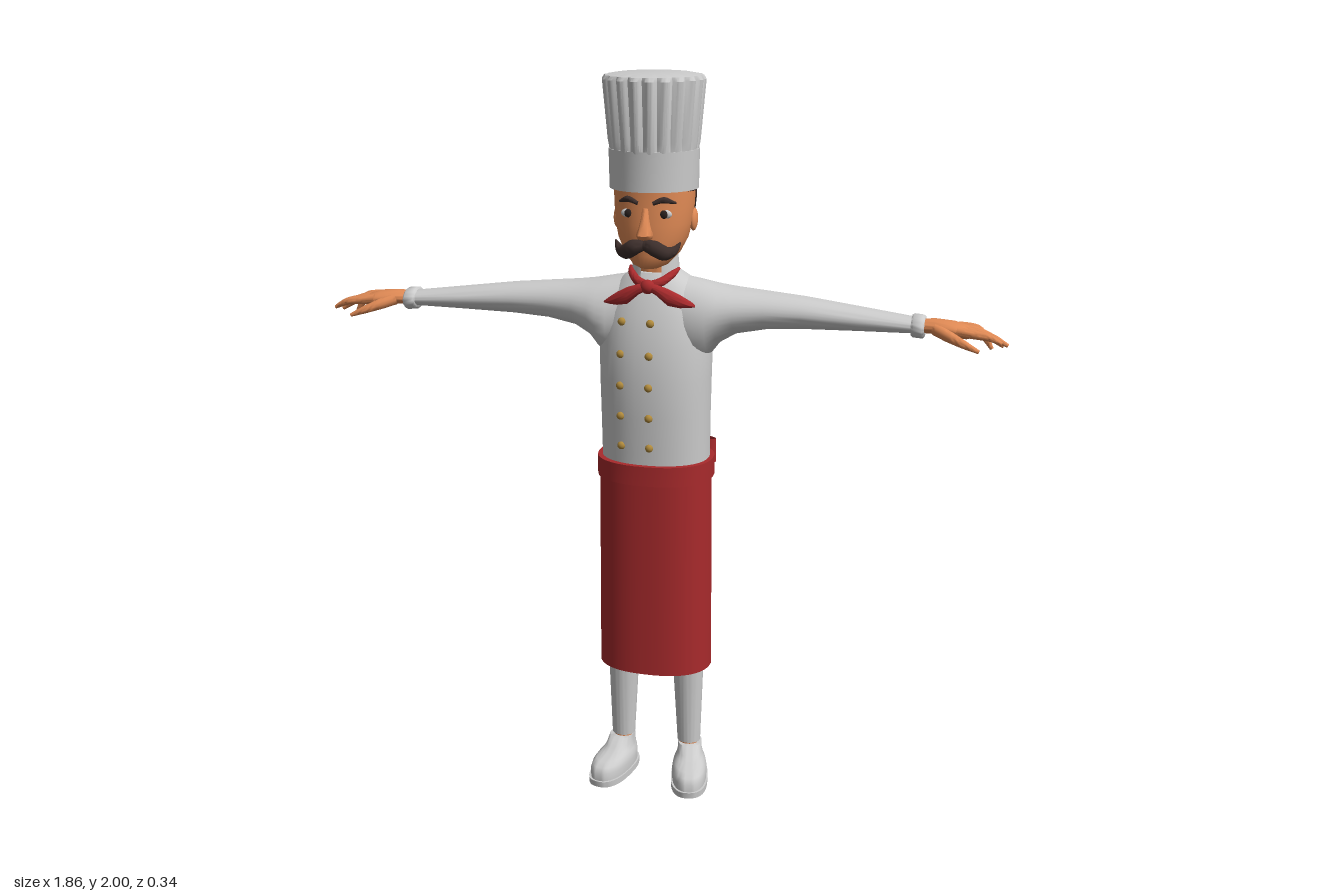
import * as THREE from 'three';
import { toCreasedNormals } from 'three/addons/utils/BufferGeometryUtils.js';

const V = (x, y, z) => new THREE.Vector3(x, y, z);
const mat = (color, side = THREE.FrontSide) => new THREE.MeshStandardMaterial({ color, side });
const GREY = mat(0xcccccc), GREY2 = mat(0xcccccc, THREE.DoubleSide), RED = mat(0xa82a2c), RED2 = mat(0xa82a2c, THREE.DoubleSide);
const SKIN = mat(0xe08a55), HAIR = mat(0x3c2e2b), GOLD = mat(0xb08a3c), DARK = mat(0x2a2220);

// Skin a list of cross-sections (arrays of points) into a surface
function loft(rings, closed = true, caps = closed, crease = 0.9) {
  const n = rings[0].length, pos = [], idx = [];
  rings.forEach(r => r.forEach(p => pos.push(p.x, p.y, p.z)));
  for (let i = 0; i < rings.length - 1; i++)
    for (let j = 0; j < (closed ? n : n - 1); j++) {
      const a = i * n + j, b = i * n + (j + 1) % n;
      idx.push(a, b, b + n, a, b + n, a + n);
    }
  if (caps) [0, rings.length - 1].forEach((k, end) => {
    const c = rings[k].reduce((s, p) => s.add(p), V(0, 0, 0)).divideScalar(n);
    const ci = pos.length / 3;
    pos.push(c.x, c.y, c.z);
    for (let j = 0; j < n; j++) {
      const a = k * n + j, b = k * n + (j + 1) % n;
      end ? idx.push(a, b, ci) : idx.push(b, a, ci);
    }
  });
  const g = new THREE.BufferGeometry();
  g.setAttribute('position', new THREE.Float32BufferAttribute(pos, 3));
  g.setIndex(idx);
  return toCreasedNormals(g, crease);
}

const pw = (v, n) => Math.sign(v) * Math.abs(v) ** (2 / n);
// Horizontal section: height, centre x, half width, back z, front z
function ring(y, cx, rx, zB, zF, n = 2, seg = 40, a0 = 0, a1 = Math.PI * 2) {
  const open = a1 - a0 < 6.28, m = open ? seg + 1 : seg;
  return Array.from({ length: m }, (_, j) => {
    const a = a0 + (a1 - a0) * j / seg;
    return V(cx + rx * pw(Math.sin(a), n), y, (zB + zF) / 2 + (zF - zB) / 2 * pw(Math.cos(a), n));
  });
}
const upright = (rows, n) => loft(rows.map(r => ring(...r, n)));
// Sections across x: x, top y, bottom y, back z, front z
const alongX = rows => loft(rows.map(([x, yT, yB, zB, zF]) => Array.from({ length: 32 }, (_, j) => {
  const a = j / 32 * Math.PI * 2;
  return V(x, (yT + yB) / 2 - (yT - yB) / 2 * Math.sin(a), (zB + zF) / 2 + (zF - zB) / 2 * Math.cos(a));
})));
// Round tube whose radius follows a short list
function sweep(points, radii, steps = 14, seg = 12) {
  const curve = new THREE.CatmullRomCurve3(points.map(p => V(...p))), f = curve.computeFrenetFrames(steps);
  return loft(Array.from({ length: steps + 1 }, (_, i) => {
    const t = i / steps * (radii.length - 1), k = Math.min(Math.floor(t), radii.length - 2);
    const r = THREE.MathUtils.lerp(radii[k], radii[k + 1], t - k), p = curve.getPointAt(i / steps);
    return Array.from({ length: seg }, (_, j) => {
      const a = j / seg * Math.PI * 2;
      return p.clone().addScaledVector(f.normals[i], r * Math.cos(a)).addScaledVector(f.binormals[i], r * Math.sin(a));
    });
  }));
}
// Flat band along a path, widened in direction dir from w0 to w1 at its middle or end
function ribbon(points, dir, width) {
  const curve = new THREE.CatmullRomCurve3(points.map(p => V(...p)));
  return loft(Array.from({ length: 21 }, (_, i) => [-1, 1].map(s =>
    curve.getPointAt(i / 20).addScaledVector(V(...dir), s * width(i / 20) / 2))), false);
}

export function createModel() {
  const model = new THREE.Group();
  const add = (name, geo, material, parent = model) => {
    const m = new THREE.Mesh(geo, material);
    m.name = name;
    parent.add(m);
    return m;
  };
  const ball = (name, material, p, s, parent) => {
    const m = add(name, new THREE.SphereGeometry(1, 20, 14), material, parent);
    m.position.set(...p);
    m.scale.set(...s);
    return m;
  };

  // Jacket body and standing collar
  add('jacket', upright([[0.9, 0, .149, -.108, .118], [1, 0, .149, -.11, .123], [1.1, 0, .15, -.114, .13], [1.2, 0, .152, -.116, .134],
    [1.3, 0, .154, -.115, .126], [1.38, 0, .148, -.111, .107], [1.43, 0, .128, -.1, .088], [1.465, 0, .092, -.078, .072],
    [1.485, 0, .066, -.052, .06]], 2.2), GREY);
  const collar = add('collar', new THREE.CylinderGeometry(.06, .068, .075, 40, 1, true, .45, Math.PI * 2 - .9), GREY2);
  collar.position.set(0, 1.492, .01);
  collar.scale.z = .88;
  for (const x of [-.07, .01]) for (let i = 0; i < 5; i++)
    ball('button', GOLD, [x, 1.02 + i * .085, [.124, .13, .133, .127, .112][i] - (x < 0 ? .01 : 0)], [.011, .011, .009]);

  // Hips
  add('hips', upright([[.73, 0, .1, -.05, .07], [.78, 0, .135, -.088, .09], [.85, 0, .147, -.118, .11], [.95, 0, .148, -.105, .115]]), GREY);

  // Limbs, built on the left and mirrored
  for (const s of [1, -1]) {
    const side = new THREE.Group();
    side.name = s > 0 ? 'leftLimbs' : 'rightLimbs';
    side.scale.x = s;
    model.add(side);
    add('sleeve', alongX([[.04, 1.477, 1.25, -.095, .08], [.12, 1.463, 1.235, -.107, .095], [.15, 1.457, 1.262, -.104, .094],
      [.175, 1.452, 1.295, -.1, .088], [.22, 1.446, 1.322, -.09, .076], [.3, 1.439, 1.338, -.075, .063],
      [.4, 1.43, 1.345, -.064, .056], [.55, 1.411, 1.349, -.05, .05], [.7, 1.392, 1.352, -.032, .042]]), GREY, side);
    add('cuff', alongX([[.683, 1.398, 1.345, -.036, .045], [.688, 1.402, 1.341, -.04, .049], [.712, 1.4, 1.339, -.04, .049],
      [.717, 1.396, 1.343, -.036, .045]]), GREY, side);
    add('palm', alongX([[.7, 1.388, 1.354, -.02, .032], [.74, 1.393, 1.354, -.026, .041], [.79, 1.389, 1.349, -.032, .052],
      [.825, 1.38, 1.346, -.031, .052], [.838, 1.372, 1.35, -.026, .046]]), SKIN, side);
    [[-.022, .888, 1.314], [.001, .918, 1.328], [.023, .93, 1.336], [.043, .915, 1.345]].forEach(([z, x, y]) =>
      add('finger', sweep([[.8, 1.37, z], [.85, 1.364, z * 1.05], [(.85 + x) / 2, (1.366 + y) / 2 + .004, z * 1.1], [x, y, z * 1.1]],
        [.013, .012, .0105, .005]), SKIN, side));
    add('thumb', sweep([[.745, 1.37, .03], [.79, 1.355, .058], [.825, 1.342, .072], [.86, 1.328, .079]], [.016, .015, .011, .005]), SKIN, side);

    add('trouserLeg', upright([[.105, .098, .033, -.024, .038], [.35, .095, .044, -.032, .05], [.6, .085, .058, -.043, .07],
      [.72, .08, .068, -.065, .085], [.8, .077, .072, -.1, .1], [.87, .074, .073, -.12, .105], [.95, .073, .07, -.1, .1]]), GREY, side);
    add('ankle', upright([[.06, .098, .028, -.016, .034], [.115, .098, .028, -.016, .034]]), SKIN, side);
    const shoe = new THREE.Group();
    shoe.name = 'shoe';
    shoe.position.set(.1, 0, 0);
    shoe.rotation.y = .2;
    side.add(shoe);
    add('sole', upright([[0, 0, .053, -.046, .17], [.018, 0, .053, -.046, .172]], 2.5), GREY, shoe);
    add('upper', upright([[.015, 0, .049, -.042, .167], [.04, 0, .05, -.043, .167], [.055, 0, .047, -.042, .158], [.064, 0, .042, -.041, .138],
      [.07, 0, .038, -.04, .1], [.08, 0, .035, -.038, .075], [.1, 0, .034, -.035, .05]], 2.3), GREY, shoe);
  }

  // Apron skirt, waistband and bow at the back
  add('apron', loft([[.35, .16, .122], [.65, .158, .125], [.95, .156, .13]].map(([y, rx, z]) =>
    ring(y, 0, rx, -z, z, 2.4, 40, -Math.PI / 2, Math.PI / 2)), false), RED2);
  add('waistband', upright([[.915, 0, .161, -.122, .136], [.97, 0, .161, -.122, .136]], 2.3), RED);
  const bow = new THREE.Group();
  bow.name = 'bow';
  model.add(bow);
  ball('bowKnot', RED, [.01, .942, -.138], [.022, .025, .02], bow);
  for (const s of [1, -1]) {
    add('bowLoop', ribbon([[.01, .942, -.135], [.01 + s * .05, .945, -.132], [.01 + s * .11, .942, -.135], [.01 + s * .125, .94, -.152],
      [.01 + s * .095, .942, -.172], [.01 + s * .045, .944, -.158], [.01, .942, -.145]], [0, 1, 0],
      t => .028 + .042 * Math.sin(t * Math.PI)), RED2, bow);
    add('bowTail', ribbon([[.01, .935, -.14], [.01 + s * .035, .88, -.15], [.01 + s * .085, s > 0 ? .79 : .81, -.145]], [.9, s * .4, 0],
      t => .022 + .034 * t), RED2, bow);
  }

  // Neck, head and face
  add('neck', upright([[1.44, 0, .047, -.036, .046], [1.56, 0, .052, -.04, .05]]), SKIN);
  add('head', upright([[1.505, 0, .026, .045, .106], [1.513, 0, .046, .01, .116], [1.54, 0, .072, -.035, .122], [1.58, 0, .092, -.056, .124],
    [1.62, 0, .101, -.069, .126], [1.66, 0, .105, -.077, .122], [1.7, 0, .107, -.081, .122], [1.75, 0, .105, -.08, .12]], 2.1), SKIN);
  add('nose', upright([[1.582, 0, .01, .1, .13], [1.588, 0, .019, .1, .148], [1.598, 0, .022, .1, .157], [1.615, 0, .016, .1, .149],
    [1.64, 0, .011, .1, .138], [1.665, 0, .009, .1, .126]]), SKIN);
  for (const s of [1, -1]) {
    ball('ear', SKIN, [s * .103, 1.625, .012], [.011, .03, .02]).rotation.x = -.2;
    ball('eyeWhite', GREY, [s * .048, 1.65, .108], [.02, .012, .008]);
    ball('pupil', DARK, [s * .047, 1.65, .113], [.011, .011, .006]);
    add('eyebrow', sweep([[s * .02, 1.678, .122], [s * .045, 1.687, .116], [s * .075, 1.678, .095]], [.005, .0085, .003]), HAIR);
    add('moustache', sweep([[0, 1.573, .134], [s * .025, 1.567, .138], [s * .052, 1.552, .124], [s * .072, 1.556, .108], [s * .087, 1.576, .092]],
      [.014, .021, .02, .012, .002], 20), HAIR);
  }

  // Hair: a shell whose lower edge drops behind the ears
  const edge = z => 1.722 - .025 * THREE.MathUtils.smoothstep(-z, -.1, -.06) - .075 * THREE.MathUtils.smoothstep(-z, -.012, .03);
  add('hair', loft([[0, .09, -.066], [.0, .106, -.08], [.35, .109, -.086], [1, .111, -.087]].map(([t, rx, zB]) =>
    ring(0, 0, rx, zB, .12, 2.1, 64).map(p => V(p.x, THREE.MathUtils.lerp(edge(p.z), 1.74, t), p.z)))), HAIR);

  // Pleated tall hat
  add('hatBand', upright([[1.708, 0, .117, -.09, .143], [1.81, 0, .119, -.091, .145]]), GREY);
  const pleat = (y, r, depth) => Array.from({ length: 160 }, (_, j) => {
    const a = j / 160 * Math.PI * 2, k = r - depth * (1 - Math.abs(Math.sin(a * 10)));
    return V(k * Math.sin(a), y, .029 + k * Math.cos(a));
  });
  add('hatCrown', loft([pleat(1.805, .116, .004), pleat(1.83, .121, .01), pleat(1.985, .135, .011), pleat(1.995, .129, .008), pleat(2, .1, .002)],
    true, true, .5), GREY);

  // Knotted neckerchief
  ball('scarfKnot', RED, [0, 1.456, .099], [.02, .019, .016]);
  for (const s of [1, -1]) {
    add('scarfBand', sweep([[0, 1.458, .088], [s * .03, 1.466, .079], [s * .056, 1.484, .05], [s * .066, 1.494, .02]], [.011, .012, .01, .004]), RED);
    const wing = add('scarfWing', alongX([[0, 1.464, 1.448, .09, .108], [.025, 1.463, 1.434, .088, .112], [.055, 1.453, 1.408, .086, .11],
      [.085, 1.437, 1.402, .078, .104], [.11, 1.42, 1.402, .07, .094], [.124, 1.409, 1.404, .068, .085]]), RED);
    wing.scale.x = s;
  }
  return model;
}
